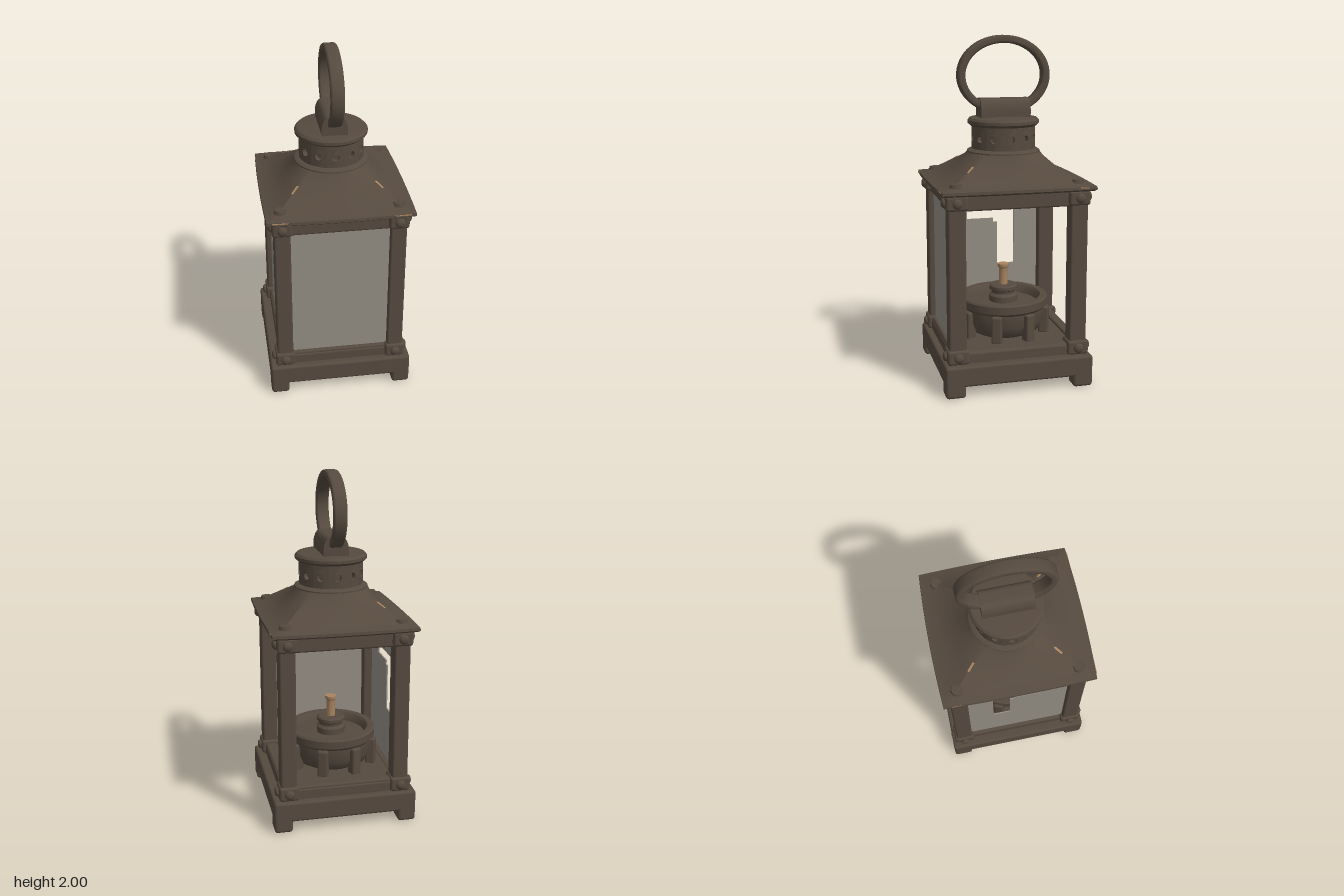
import * as THREE from 'three';
import { toCreasedNormals } from 'three/addons/utils/BufferGeometryUtils.js';
import { RoundedBoxGeometry } from 'three/addons/geometries/RoundedBoxGeometry.js';

export function createModel() {
  const root = new THREE.Group();
  root.name = 'lantern';
  const mat = (name, color, side = THREE.FrontSide) => {
    const m = new THREE.MeshStandardMaterial({ color, side });
    m.name = name;
    return m;
  };
  const metal = mat('dark bronze', 0x564a3f);
  const glass = mat('dusty glass', 0x938c83, THREE.DoubleSide);
  const tan = mat('worn tan', 0xa88460);

  const add = (name, geo, x = 0, y = 0, z = 0, m = metal) => {
    const mesh = new THREE.Mesh(geo, m);
    mesh.name = name;
    mesh.position.set(x, y, z);
    root.add(mesh);
    return mesh;
  };
  // softened box given by its size and its bottom height
  const box = (name, w, h, d, x, y0, z, r = 0.012) =>
    add(name, new RoundedBoxGeometry(w, h, d, 2, r), x, y0 + h / 2, z);
  const lathe = (pts, seg = 40) => toCreasedNormals(
    new THREE.LatheGeometry(pts.map(p => new THREE.Vector2(p[0], p[1])), seg), 0.6);

  // base, floor and rails
  box('base', 0.83, 0.12, 0.86, 0, 0.07, 0, 0.015);
  box('floor', 0.72, 0.07, 0.78, 0, 0.18, 0);
  for (const s of [-1, 1]) {
    box('lowerRail', 0.58, 0.08, 0.06, 0, 0.185, s * 0.355);
    box('lowerSideRail', 0.06, 0.07, 0.62, s * 0.325, 0.185, 0);
    box('upperRail', 0.58, 0.1, 0.06, 0, 1.06, s * 0.355);
    box('upperSideRail', 0.06, 0.1, 0.62, s * 0.325, 1.06, 0);
  }

  // corner posts with feet, collars and rivets
  const rivet = new THREE.SphereGeometry(0.028, 14, 10);
  const stud = new THREE.CylinderGeometry(0.032, 0.04, 0.03, 8);
  for (const sx of [-1, 1]) for (const sz of [-1, 1]) {
    const x = sx * 0.325, z = sz * 0.35;
    box('foot', 0.105, 0.13, 0.115, sx * 0.3625, 0.005, sz * 0.3725, 0.018);
    box('post', 0.092, 0.96, 0.1, x, 0.2, z);
    for (const y of [0.232, 1.11]) {
      box('collar', 0.115, 0.085, 0.125, x, y - 0.0425, z, 0.016);
      add('rivet', rivet, x + sx * 0.062, y, z).scale.x = 0.6;
      add('rivet', rivet, x, y, z + sz * 0.066).scale.z = 0.6;
    }
    add('roofStud', stud, sx * 0.327, 1.195, sz * 0.347);
  }

  // roof: bowed rectangle rising to a circle, from half widths, height and roundness
  const levels = [
    [0, 0, 1.152, 0], [0.4, 0.425, 1.152, 0], [0.412, 0.438, 1.162, 0],
    [0.41, 0.436, 1.178, 0], [0.345, 0.368, 1.192, 0],
    [0.275, 0.29, 1.25, 0.15], [0.225, 0.23, 1.31, 0.7], [0.212, 0.212, 1.338, 1], [0, 0, 1.338, 1],
  ];
  const n = 12, count = n * 4, pos = [], idx = [];
  levels.forEach(([hx, hz, y, round]) => {
    for (let i = 0; i < count; i++) {
      const side = Math.floor(i / n), t = (i % n) / n * 2 - 1;
      const [u, v] = [[t, 1], [1, -t], [-t, -1], [-1, t]][side];
      const k = 1 / Math.hypot(u, v);
      const bow = 1 + (1 - t * t) * 0.03 * (1 - round);
      const bx = side % 2 ? 1 + (bow - 1) * 0.7 : 1, bz = side % 2 ? 1 : bow;
      pos.push(hx * bx * u * (1 + (k - 1) * round), y, hz * bz * v * (1 + (k - 1) * round));
    }
  });
  for (let l = 0; l < levels.length - 1; l++) for (let i = 0; i < count; i++) {
    const a = l * count + i, b = l * count + (i + 1) % count;
    idx.push(a, b, b + count, a, b + count, a + count);
  }
  const roof = new THREE.BufferGeometry();
  roof.setAttribute('position', new THREE.Float32BufferAttribute(pos, 3));
  roof.setIndex(idx);
  add('roof', toCreasedNormals(roof, 0.5));

  // worn flecks on the hips and the eave corners
  for (const [sx, sz] of [[-1, -1], [-1, 1], [1, 1]]) {
    const fleck = add('hipWear', new THREE.BoxGeometry(0.012, 0.006, 0.06),
      sx * 0.235, 1.268, sz * 0.246, tan);
    fleck.lookAt(sx * 0.275, 1.237, sz * 0.288);
  }
  for (const s of [-1, 1]) {
    add('eaveWear', new THREE.BoxGeometry(0.1, 0.006, 0.006), s * 0.33, 1.173, 0.44, tan);
    add('eaveWear', new THREE.BoxGeometry(0.006, 0.006, 0.12), s * 0.411, 1.173, -0.33, tan);
  }

  // vent neck: pierced panels bent around a core
  const R = 0.185, vents = 12, half = Math.PI * R / vents;
  const panel = new THREE.Shape();
  for (let i = 0; i <= 4; i++) panel[i ? 'lineTo' : 'moveTo'](-half + half * i / 2, -0.085);
  for (let i = 4; i >= 0; i--) panel.lineTo(-half + half * i / 2, 0.085);
  panel.holes.push(new THREE.Path().absarc(0, 0, 0.022, 0, Math.PI * 2, true));
  const vent = new THREE.ExtrudeGeometry(panel, { depth: 0.025, bevelEnabled: false, curveSegments: 10 });
  const p = vent.attributes.position;
  for (let i = 0; i < p.count; i++) {
    const a = p.getX(i) / R, r = R - 0.025 + p.getZ(i);
    p.setXYZ(i, r * Math.sin(a), p.getY(i), r * Math.cos(a));
  }
  vent.computeVertexNormals();
  const ventGeo = toCreasedNormals(vent, 0.6);
  for (let i = 0; i < vents; i++)
    add('ventPanel', ventGeo, 0, 1.42, 0).rotation.y = i * Math.PI * 2 / vents;
  add('ventCore', new THREE.CylinderGeometry(0.161, 0.161, 0.17, 32), 0, 1.42, 0);
  add('neckCollar', lathe([[0.16, 1.325], [0.212, 1.325], [0.212, 1.345], [0.19, 1.358], [0.16, 1.358]]));
  add('neckCap', lathe([[0.15, 1.488], [0.19, 1.488], [0.207, 1.503], [0.207, 1.52],
    [0.195, 1.533], [0.12, 1.54], [0, 1.542]]));

  // saddle block holding the ring
  const arch = new THREE.Shape();
  arch.moveTo(-0.072, 1.53);
  arch.lineTo(0.072, 1.53);
  arch.lineTo(0.072, 1.582);
  arch.quadraticCurveTo(0.062, 1.645, 0.025, 1.645);
  arch.lineTo(-0.025, 1.645);
  arch.quadraticCurveTo(-0.062, 1.645, -0.072, 1.582);
  arch.closePath();
  add('saddle', toCreasedNormals(
    new THREE.ExtrudeGeometry(arch, { depth: 0.29, bevelEnabled: false }), 0.6), 0, 0, -0.145);

  // carrying ring: flat oval band with softened edges
  const band = new THREE.Shape().absellipse(0, 0, 0.258, 0.213, 0, Math.PI * 2);
  band.holes.push(new THREE.Path().absellipse(0, 0, 0.238, 0.193, 0, Math.PI * 2, true));
  const ring = new THREE.ExtrudeGeometry(band, {
    depth: 0.052, bevelThickness: 0.012, bevelSize: 0.012, bevelSegments: 3, curveSegments: 32 });
  ring.translate(0, 0, -0.026);
  add('ring', toCreasedNormals(ring, 0.6), 0, 1.775, 0).rotation.y = Math.PI / 2;

  // front pane, and right pane with a broken opening
  add('frontPane', new THREE.BoxGeometry(0.57, 0.82, 0.008), 0, 0.66, 0.362, glass);
  const pane = new THREE.Shape();
  pane.moveTo(-0.31, 0.24);
  pane.lineTo(0.31, 0.24);
  pane.lineTo(0.31, 1.07);
  pane.lineTo(-0.31, 1.07);
  pane.closePath();
  pane.holes.push(new THREE.Path([[-0.15, 0.918], [0.15, 0.918], [0.15, 0.57], [0.045, 0.57],
    [0.045, 0.84], [0.018, 0.84], [0.018, 0.865], [-0.15, 0.865]].map(q => new THREE.Vector2(...q))));
  add('sidePane', new THREE.ExtrudeGeometry(pane, { depth: 0.008, bevelEnabled: false }),
    -0.34, 0, 0, glass).rotation.y = Math.PI / 2;

  // oil burner with cradle brackets, cap and wick
  add('burnerBowl', lathe([[0, 0.25], [0.17, 0.25], [0.215, 0.275], [0.243, 0.33], [0.248, 0.405],
    [0.262, 0.42], [0.264, 0.465], [0.255, 0.475], [0.222, 0.475], [0.21, 0.462], [0.2, 0.425],
    [0.1, 0.435], [0, 0.435]]));
  add('burnerCap', lathe([[0.085, 0.43], [0.085, 0.47], [0.07, 0.485], [0.072, 0.5], [0.083, 0.508],
    [0.083, 0.527], [0.074, 0.535], [0, 0.535]], 28));
  add('wick', lathe([[0.027, 0.53], [0.025, 0.63], [0.034, 0.645], [0.034, 0.66], [0, 0.66]], 16),
    0, 0, 0, tan);
  const bracket = new RoundedBoxGeometry(0.06, 0.165, 0.06, 2, 0.012);
  for (let i = 0; i < 8; i++) {
    const a = (i + 0.5) * Math.PI / 4;
    add('cradleBracket', bracket, Math.sin(a) * 0.245, 0.325, Math.cos(a) * 0.245).rotation.y = a;
  }
  return root;
}
